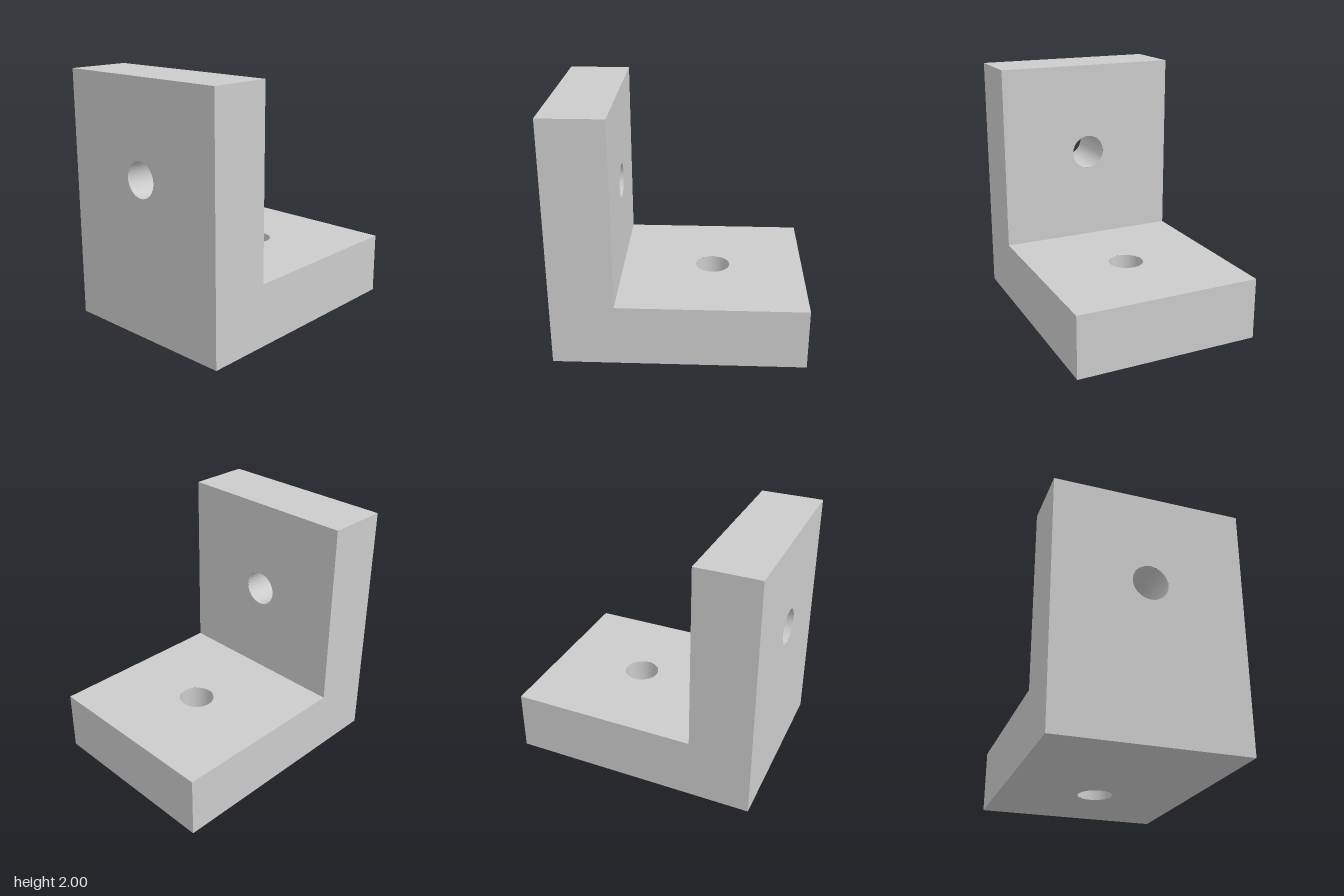
import * as THREE from 'three';
import { mergeGeometries } from 'three/addons/utils/BufferGeometryUtils.js';

const HALF_DEPTH = 0.75, THICK = 0.5, RADIUS = 0.14;

// Flat rectangle facing +z, with an optional round hole at [x, y]
function panel(x0, x1, y0, y1, hole) {
  const shape = new THREE.Shape([[x0, y0], [x1, y0], [x1, y1], [x0, y1]].map(p => new THREE.Vector2(...p)));
  if (hole) shape.holes.push(new THREE.Path().absarc(hole[0], hole[1], RADIUS, 0, Math.PI * 2, true));
  return new THREE.ShapeGeometry(shape, 48);
}

// L-shaped side profile; sx = -1 mirrors it for the back
function profile(sx) {
  const points = [[-1, 0], [1, 0], [1, THICK], [-0.5, THICK], [-0.5, 2], [-1, 2]];
  return new THREE.ShapeGeometry(new THREE.Shape(points.map(([x, y]) => new THREE.Vector2(sx * x, y))));
}

export function createModel() {
  const group = new THREE.Group();
  group.name = 'angleBracket';
  const d = HALF_DEPTH, q = Math.PI / 2;

  // Closed outer skin of the L-shaped block
  const skin = mergeGeometries([
    profile(1).translate(0, 0, d),
    profile(-1).rotateY(Math.PI).translate(0, 0, -d),
    panel(-d, d, 0, 2, [0, 1.25]).rotateY(-q).translate(-1, 0, 0),
    panel(-d, d, THICK, 2, [0, 1.25]).rotateY(q).translate(-0.5, 0, 0),
    panel(-d, d, 0, THICK).rotateY(q).translate(1, 0, 0),
    panel(-1, 1, -d, d, [0.25, 0]).rotateX(q),
    panel(-0.5, 1, -d, d, [0.25, 0]).rotateX(-q).translate(0, THICK, 0),
    panel(-1, -0.5, -d, d).rotateX(-q).translate(0, 2, 0),
  ]);
  const body = new THREE.Mesh(skin, new THREE.MeshStandardMaterial({ color: 0xcccccc }));
  body.name = 'bracketBody';
  group.add(body);

  // Smooth inner walls of the two bolt holes
  const boreMaterial = new THREE.MeshStandardMaterial({ color: 0xcccccc, side: THREE.BackSide });
  const addBore = (name, x, y, tilt) => {
    const bore = new THREE.Mesh(new THREE.CylinderGeometry(RADIUS, RADIUS, THICK, 48, 1, true), boreMaterial);
    bore.name = name;
    bore.position.set(x, y, 0);
    bore.rotation.z = tilt;
    group.add(bore);
  };
  addBore('baseHole', 0.25, THICK / 2, 0);
  addBore('uprightHole', -0.75, 1.25, q);

  return group;
}
